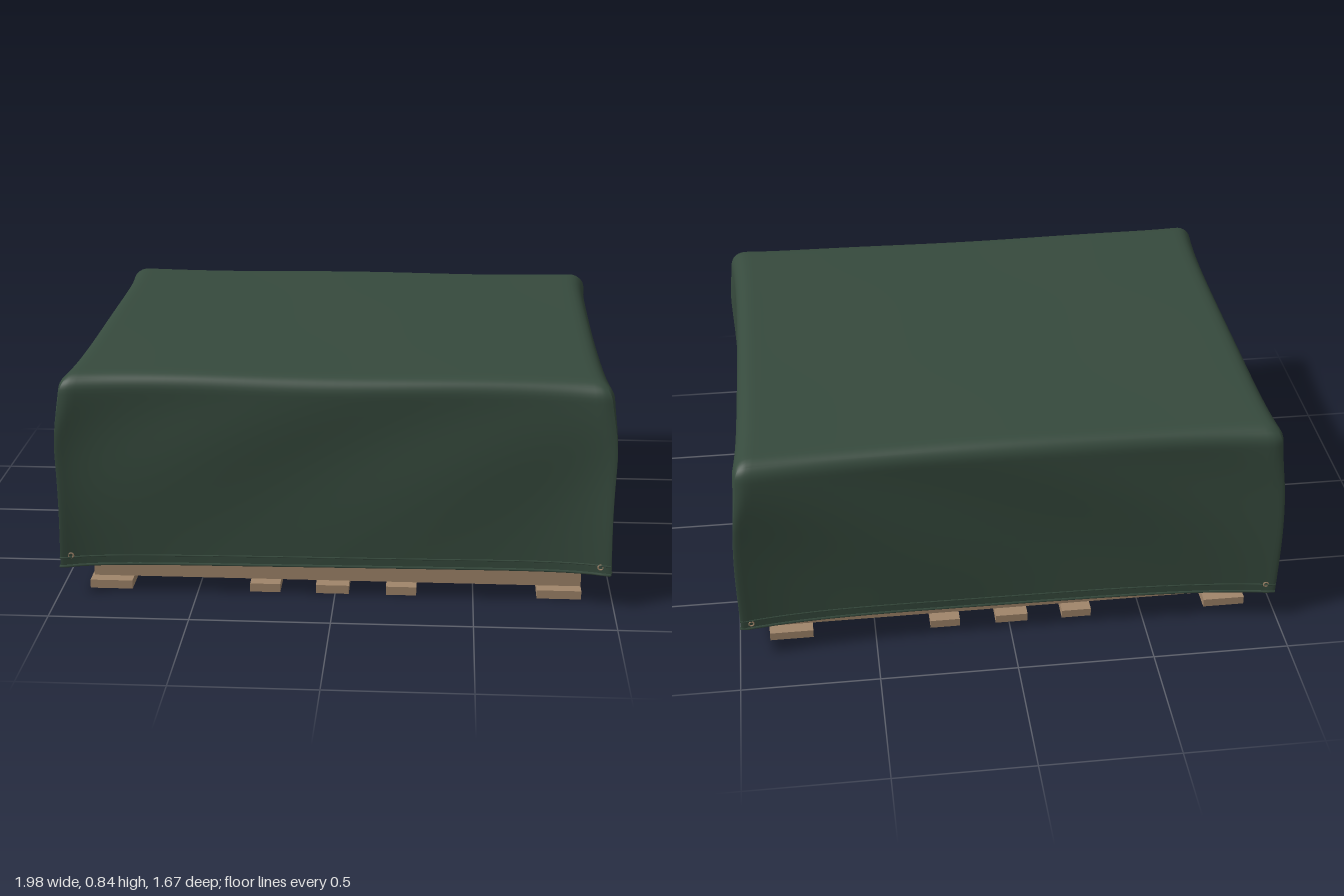
import * as THREE from 'three';
import { mergeVertices } from 'three/addons/utils/BufferGeometryUtils.js';

const HX = 0.952, HZ = 0.79, TOP = 0.833;

const hemHeight = (x, z) => 0.126 + 0.008 * x - 0.004 * z;

// Maps a point of a plain box onto the draped cloth: rounded edges,
// corners that flare outwards, and soft swags across the walls.
function drape(x, y, z) {
  const r = 0.02 + 0.042 * THREE.MathUtils.smoothstep(y, 0.55, 0.78);
  const core = new THREE.Vector3(
    THREE.MathUtils.clamp(x, r - HX, HX - r),
    Math.min(y, TOP - r),
    THREE.MathUtils.clamp(z, r - HZ, HZ - r));
  const out = new THREE.Vector3(x, y, z).sub(core);
  if (out.lengthSq() > 0) out.setLength(r);
  const p = core.add(out);

  const a = x / HX, b = z / HZ;
  const h = (y - 0.13) / (TOP - 0.13);
  const fade = 1 - 0.45 * Math.pow(Math.max(h, 0), 5);
  const flareX = 0.04 * Math.pow(Math.abs(b), 5);
  const flareZ = 0.045 * Math.pow(Math.abs(a), b < 0 ? 4 : 8);
  const swagX = 0.006 * Math.sin(h * Math.PI) * Math.sin(5 * b + 5 * h * h);
  const swagZ = 0.006 * Math.sin(h * Math.PI) * Math.sin(6 * a - 5 * h * h);
  p.x += a * (flareX * fade + swagX);
  p.z += b * (flareZ * fade + swagZ);
  if (h > 0.9) p.y += 0.003 * Math.sin(5 * x + 2 * z) * Math.cos(4 * z - x);
  return p;
}

// Open-bottomed cloth shell, with vertices gathered towards the edges
function coverGeometry() {
  const box = new THREE.BoxGeometry(2, 2, 2, 48, 28, 44);
  const kept = [];
  box.groups.forEach((g, side) => {
    if (side === 3) return;
    for (let i = g.start; i < g.start + g.count; i++) kept.push(box.index.getX(i));
  });
  box.setIndex(kept);
  box.clearGroups();
  box.deleteAttribute('uv');
  box.deleteAttribute('normal');
  const pos = box.attributes.position;
  const ease = t => Math.sin(t * Math.PI / 2);
  for (let i = 0; i < pos.count; i++) {
    const x = HX * ease(pos.getX(i)), z = HZ * ease(pos.getZ(i));
    const low = hemHeight(x, z);
    const y = low + (TOP - low) * ease((pos.getY(i) + 1) / 2);
    const p = drape(x, y, z);
    pos.setXYZ(i, p.x, p.y, p.z);
  }
  const geometry = mergeVertices(box, 1e-5);
  geometry.computeVertexNormals();
  return geometry;
}

// Stitched line running round the cloth at a given height above its edge
function hemGeometry(lift, radius) {
  const points = [];
  const n = 30;
  const corners = [[-1, 1], [1, 1], [1, -1], [-1, -1]];
  corners.forEach(([ax, az], k) => {
    const [bx, bz] = corners[(k + 1) % 4];
    for (let i = 0; i < n; i++) {
      const t = i / n;
      const x = HX * (ax + (bx - ax) * t), z = HZ * (az + (bz - az) * t);
      points.push(drape(x, hemHeight(x, z) + lift, z));
    }
  });
  return new THREE.TubeGeometry(new THREE.CatmullRomCurve3(points, true), 240, radius, 5, true);
}

export function createModel() {
  const model = new THREE.Group();
  model.name = 'coveredPallet';

  const cloth = new THREE.MeshStandardMaterial({ color: 0x364a3d, side: THREE.DoubleSide });
  cloth.name = 'green cloth';
  const wood = new THREE.MeshStandardMaterial({ color: 0xa0856a });
  wood.name = 'bare wood';

  const add = (parent, name, geometry, material, x = 0, y = 0, z = 0) => {
    const mesh = new THREE.Mesh(geometry, material);
    mesh.name = name;
    mesh.position.set(x, y, z);
    parent.add(mesh);
    return mesh;
  };

  // Pallet
  const pallet = new THREE.Group();
  pallet.name = 'pallet';
  model.add(pallet);

  // Bottom boards: centre and width
  [[-0.82, 0.155], [-0.255, 0.11], [-0.01, 0.12], [0.24, 0.11], [0.81, 0.16]].forEach(([x, w]) =>
    add(pallet, 'bottomBoard', new THREE.BoxGeometry(w, 0.032, 1.49), wood, x, 0.016, 0.005));

  // Stringers
  for (const z of [-0.67, 0.005, 0.68])
    add(pallet, 'stringer', new THREE.BoxGeometry(1.78, 0.13, 0.05), wood, 0, 0.097, z);

  // Deck boards
  for (let i = 0; i < 11; i++)
    add(pallet, 'deckBoard', new THREE.BoxGeometry(0.15, 0.03, 1.49), wood, (i - 5) * 0.163, 0.177, 0.005);

  // Cloth cover
  const cover = new THREE.Group();
  cover.name = 'cover';
  model.add(cover);
  add(cover, 'clothShell', coverGeometry(), cloth);
  add(cover, 'hemEdge', hemGeometry(0.002, 0.005), cloth);
  add(cover, 'hemStitch', hemGeometry(0.035, 0.003), cloth);

  // Eyelets near each lower corner, two on every wall
  const ring = new THREE.TorusGeometry(0.009, 0.003, 6, 14);
  for (const s of [-1, 1]) {
    for (const t of [-1, 1]) {
      const onZ = drape(s * 0.91, 0.158, t * HZ);
      add(cover, 'eyelet', ring, wood, onZ.x, onZ.y, onZ.z);
      const onX = drape(s * HX, 0.158, t * 0.75);
      add(cover, 'eyelet', ring, wood, onX.x, onX.y, onX.z).rotation.y = Math.PI / 2;
    }
  }
  return model;
}
